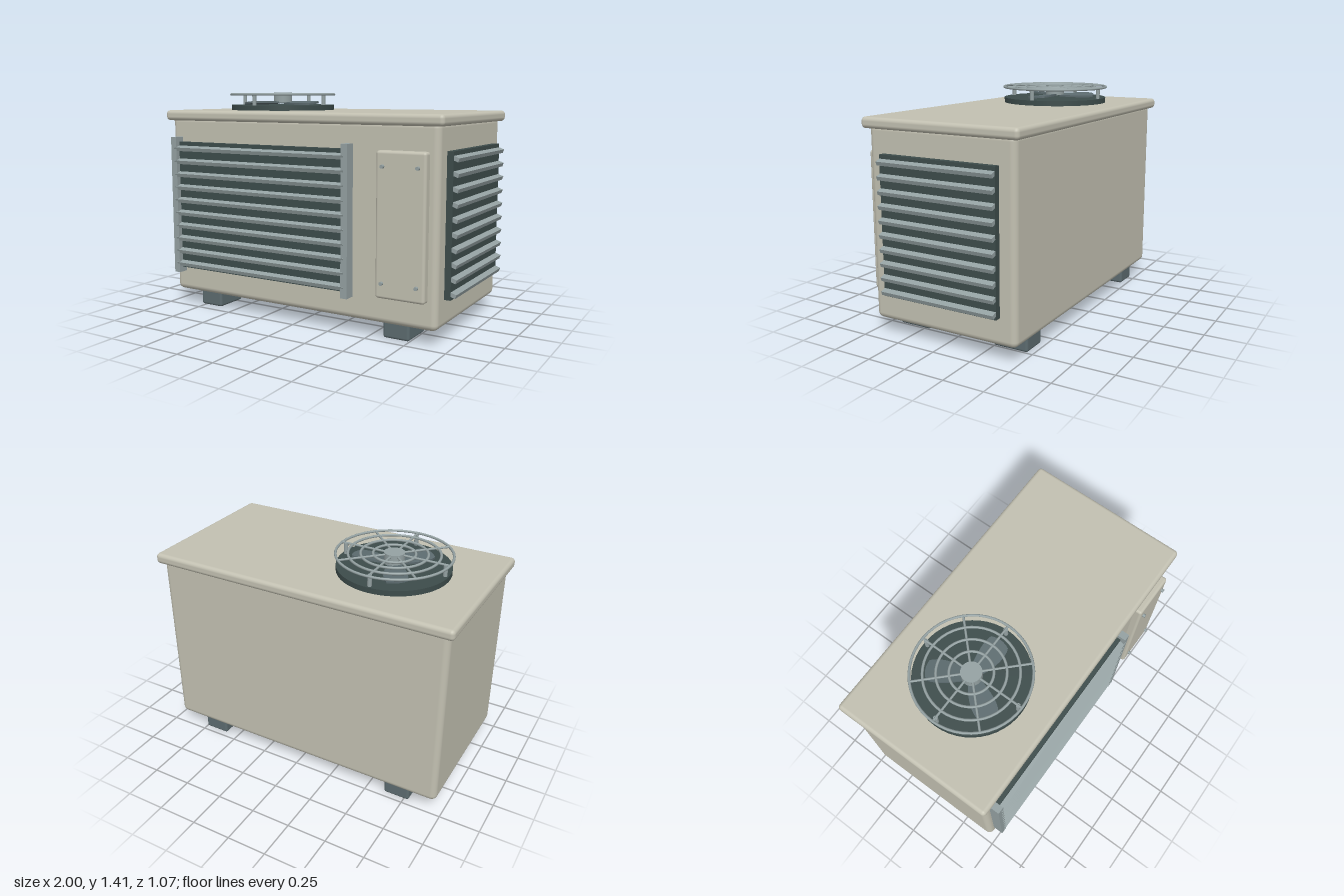
import * as THREE from 'three';
import { RoundedBoxGeometry } from 'three/addons/geometries/RoundedBoxGeometry.js';

const material = (name, color) => {
  const m = new THREE.MeshStandardMaterial({ color });
  m.name = name;
  return m;
};

export function createModel() {
  const model = new THREE.Group();
  model.name = 'outdoorCoolingUnit';

  const shell = material('warm grey paint', 0xc2c0b1);
  const metal = material('light grey metal', 0x94a1a2);
  const dark = material('dark vent', 0x3d4c4b);
  const slate = material('slate grey', 0x5c6b6f);

  const add = (parent, name, geometry, mat, x = 0, y = 0, z = 0) => {
    const mesh = new THREE.Mesh(geometry, mat);
    mesh.name = name;
    mesh.position.set(x, y, z);
    parent.add(mesh);
    return mesh;
  };
  const group = (name, x = 0, y = 0, z = 0) => {
    const g = new THREE.Group();
    g.name = name;
    g.position.set(x, y, z);
    model.add(g);
    return g;
  };
  const rounded = (w, h, d, r) => new RoundedBoxGeometry(w, h, d, 3, r);

  // Cabinet and overhanging lid
  add(model, 'cabinet', rounded(1.892, 1.16, 0.966, 0.037), shell, -0.017, 0.672, -0.017);
  add(model, 'lid', rounded(1.956, 0.066, 1.03, 0.024), shell, -0.017, 1.26, -0.018);

  // Feet
  for (const x of [-0.698, 0.666]) {
    for (const z of [0.321, -0.356]) {
      add(model, 'foot', rounded(0.167, 0.12, 0.222, 0.016), slate, x, 0.06, z);
    }
  }

  // Louvre: dark backing with ten slats sloping down and outward, facing +z
  const louvre = (name, backWidth, slatWidth, x, z) => {
    const g = group(name, x, 0, z);
    add(g, 'ventBacking', new THREE.BoxGeometry(backWidth, 0.832, 0.06), dark, 0, 0.674, 0.007);
    const slat = new THREE.BoxGeometry(slatWidth, 0.024, 0.056);
    for (let i = 0; i < 10; i++) {
      add(g, 'slat', slat, metal, 0, 0.292 + i * 0.0845, 0.04).rotation.x = 0.35;
    }
    return g;
  };
  const front = louvre('frontLouvre', 1.24, 1.27, -0.26, 0.466);
  for (const x of [-0.638, 0.638]) {
    add(front, 'sideRail', new THREE.BoxGeometry(0.043, 0.895, 0.085), metal, x, 0.673, 0.0245);
  }
  louvre('sideLouvre', 0.762, 0.76, 0.93, -0.019).rotation.y = Math.PI / 2;

  // Access panel with four screws
  add(model, 'accessPanel', rounded(0.304, 0.836, 0.07, 0.017), shell, 0.722, 0.673, 0.48);
  const screw = new THREE.CylinderGeometry(0.011, 0.011, 0.03, 12);
  for (const x of [0.614, 0.828]) {
    for (const y of [0.345, 1.004]) {
      add(model, 'screw', screw, metal, x, y, 0.517).rotation.x = Math.PI / 2;
    }
  }

  // Fan base and blades
  const fan = group('fan', -0.416, 0, -0.02);
  add(fan, 'fanBase', new THREE.CylinderGeometry(0.343, 0.343, 0.04, 48), dark, 0, 1.306, 0);
  const bladeShape = new THREE.Shape();
  bladeShape.moveTo(0.03, -0.035);
  bladeShape.bezierCurveTo(0.11, -0.075, 0.2, -0.09, 0.25, -0.065);
  bladeShape.quadraticCurveTo(0.28, 0, 0.25, 0.055);
  bladeShape.bezierCurveTo(0.19, 0.075, 0.1, 0.05, 0.03, 0.035);
  const blade = new THREE.ExtrudeGeometry(bladeShape, { depth: 0.012, bevelEnabled: false, curveSegments: 8 });
  blade.rotateX(-Math.PI / 2 + 0.09);
  for (let i = 0; i < 3; i++) {
    add(fan, 'fanBlade', blade, slate, 0, 1.334, 0).rotation.y = i * Math.PI * 2 / 3;
  }
  add(fan, 'fanHub', new THREE.CylinderGeometry(0.062, 0.062, 0.066, 24), metal, 0, 1.373, 0);

  // Wire guard: rings, spokes and posts
  for (const r of [0.125, 0.198, 0.272, 0.345]) {
    const ring = new THREE.TorusGeometry(r, 0.008, 8, 48);
    add(fan, 'guardRing', ring, metal, 0, 1.395, 0).rotation.x = Math.PI / 2;
  }
  const spoke = new THREE.CylinderGeometry(0.007, 0.007, 0.69, 8).rotateZ(Math.PI / 2);
  for (let i = 0; i < 4; i++) {
    add(fan, 'guardSpoke', spoke, metal, 0, 1.395, 0).rotation.y = i * Math.PI / 4;
    const a = i * Math.PI / 2;
    add(fan, 'guardPost', new THREE.CylinderGeometry(0.013, 0.013, 0.08, 12), metal,
      0.32 * Math.cos(a), 1.355, 0.32 * Math.sin(a));
  }
  return model;
}
